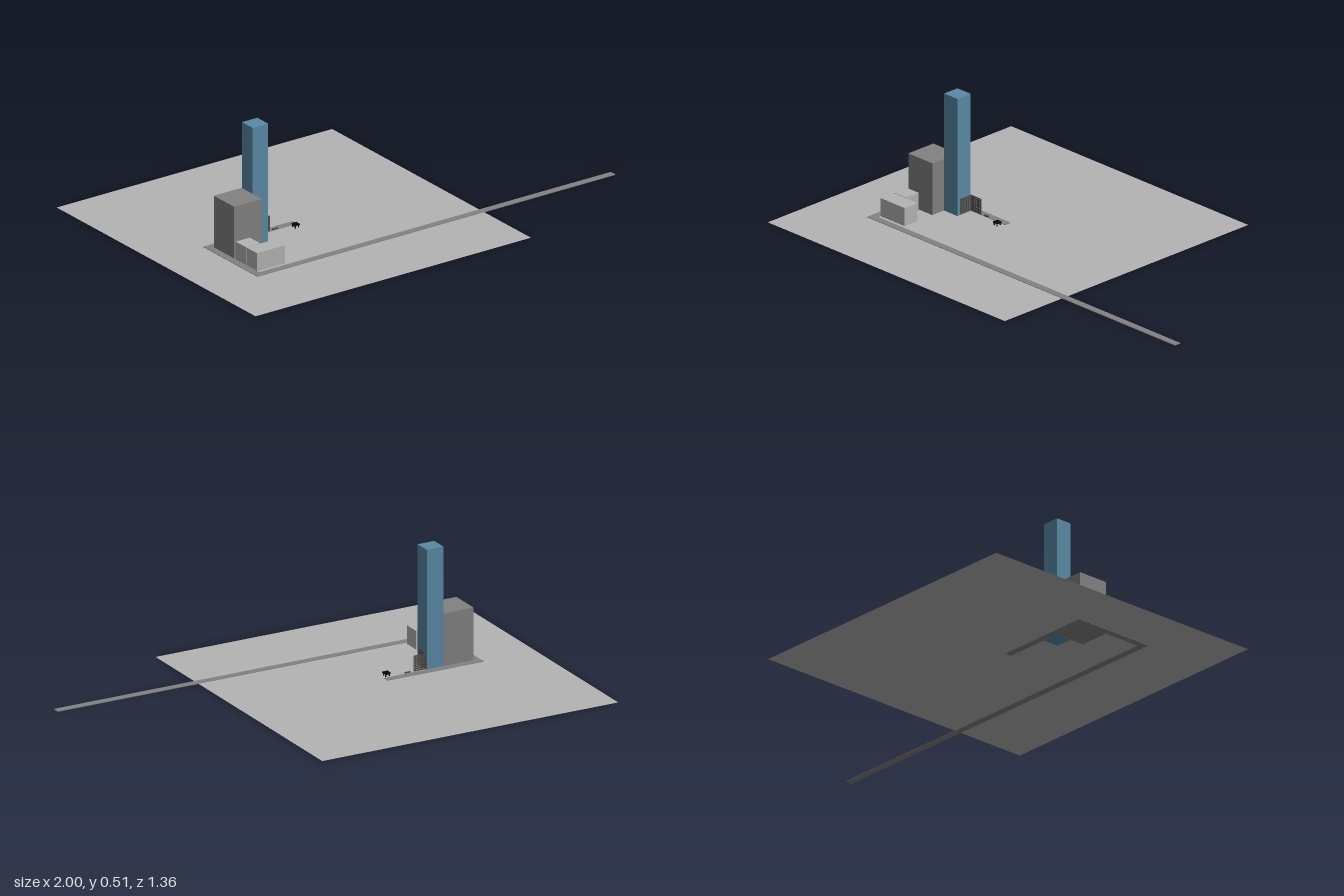
import * as THREE from 'three';

const mat = (name, color) => {
  const m = new THREE.MeshStandardMaterial({ color });
  m.name = name;
  return m;
};

export function createModel() {
  const model = new THREE.Group();
  model.name = 'cityBlock';

  const lightGrey = mat('light grey', 0xb4b4b4);
  const midGrey = mat('mid grey', 0x828282);
  const blue = mat('steel blue', 0x5a8aa6);
  const darkGrey = mat('dark grey', 0x55504e);
  const black = mat('black', 0x080808);
  const ground = mat('ground grey', 0xb4b4b4);
  ground.side = THREE.DoubleSide;

  // Box given by its lower and upper limits on each axis
  const box = (name, material, [x0, x1], [y0, y1], [z0, z1], parent = model) => {
    const mesh = new THREE.Mesh(new THREE.BoxGeometry(x1 - x0, y1 - y0, z1 - z0), material);
    mesh.position.set((x0 + x1) / 2, (y0 + y1) / 2, (z0 + z1) / 2);
    mesh.name = name;
    parent.add(mesh);
    return mesh;
  };

  // Ground sheet
  const sheet = new THREE.Mesh(new THREE.PlaneGeometry(1.355, 1.355), ground);
  sheet.rotation.x = -Math.PI / 2;
  sheet.position.set(-0.3225, 0.001, -0.003);
  sheet.name = 'ground';
  model.add(sheet);

  // Roads around the block
  const road = [0, 0.003];
  box('backRoad', midGrey, [-0.76, -0.32], road, [-0.015, 0.015]);
  box('sideRoad', midGrey, [-0.76, -0.73], road, [0.015, 0.325]);
  box('frontRoad', midGrey, [-0.76, 1], road, [0.325, 0.356]);

  // Buildings
  box('tower', blue, [-0.592, -0.516], [0, 0.512], [0.016, 0.09]);
  box('officeBlock', midGrey, [-0.73, -0.593], [0, 0.227], [0.016, 0.155]);
  box('smallHall', lightGrey, [-0.73, -0.661], [0, 0.08], [0.165, 0.235]);
  box('longHall', lightGrey, [-0.73, -0.592], [0, 0.08], [0.238, 0.31]);

  // Lattice screens meeting at the corner beside the tower
  const lattice = (name) => {
    const group = new THREE.Group();
    group.name = name;
    const size = 0.06, n = 8, bar = 0.004;
    for (let i = 0; i <= n; i++) {
      const p = (i / n) * (size - bar);
      box('upright', darkGrey, [p, p + bar], [0.005, 0.072], [0, 0.002], group);
      const y = 0.005 + (i / n) * (0.067 - bar);
      box('rail', darkGrey, [0, size], [y, y + bar], [0, 0.002], group);
    }
    model.add(group);
    return group;
  };
  lattice('backScreen').position.set(-0.515, 0, 0.015);
  const side = lattice('sideScreen');
  side.rotation.y = -Math.PI / 2;
  side.position.set(-0.513, 0, 0.018);

  // Low kerb marker and small black table beside the road
  box('marker', darkGrey, [-0.44, -0.415], [0.005, 0.01], [0.012, 0.017]);
  box('tableTop', black, [-0.355, -0.331], [0.011, 0.017], [0.025, 0.05]);
  for (const x of [-0.351, -0.335])
    for (const z of [0.029, 0.046])
      box('tableLeg', black, [x - 0.002, x + 0.002], [0.001, 0.011], [z - 0.002, z + 0.002]);

  return model;
}
